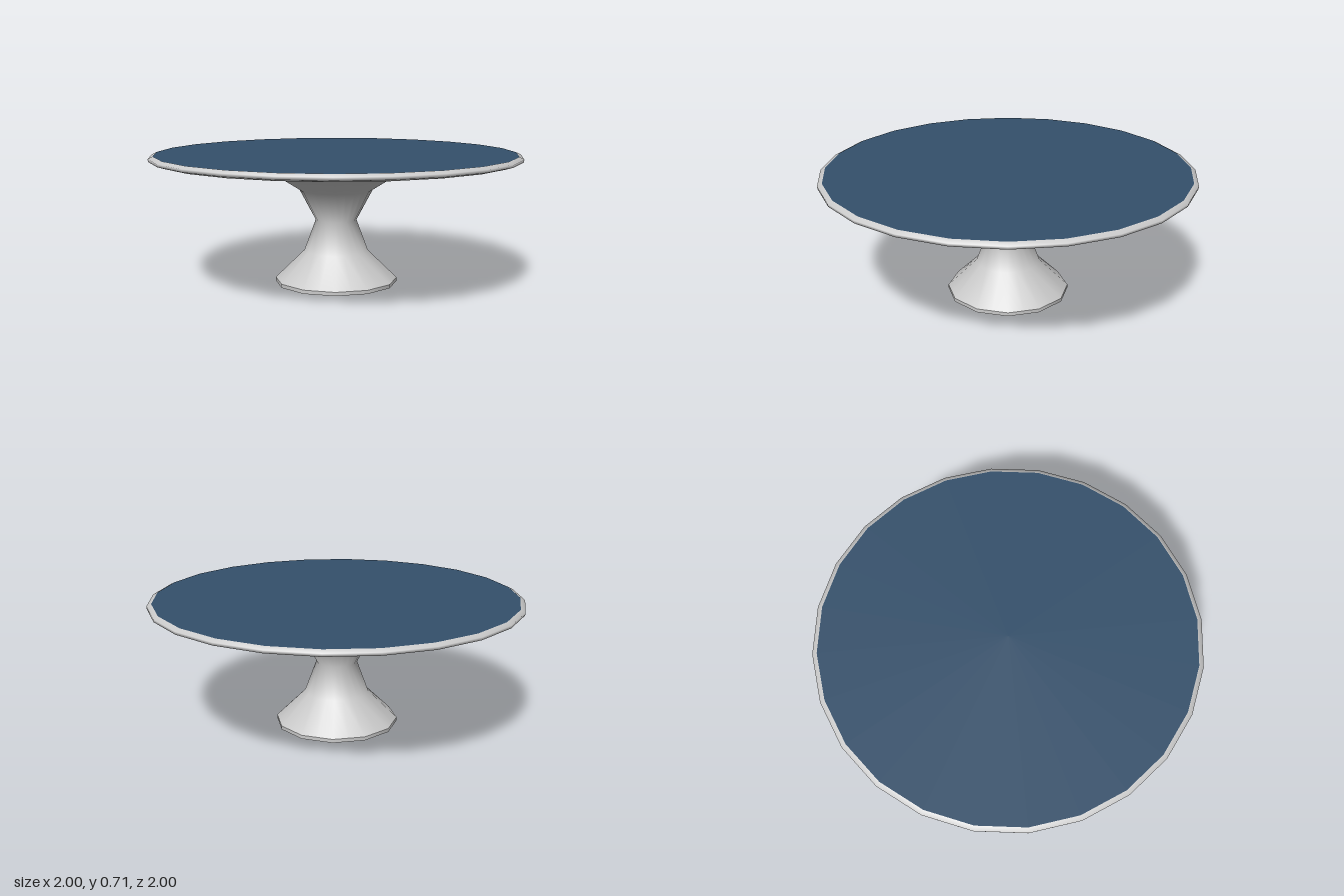
import * as THREE from 'three';
import { mergeVertices } from 'three/addons/utils/BufferGeometryUtils.js';

const SIDES = 24;

// Pedestal rings (12-sided), then tabletop rings (24-sided): [radius, height]
const pedestal = [[0.335, 0.02], [0.175, 0.175], [0.112, 0.345], [0.2, 0.51], [0.475, 0.678]];
const tabletop = [[0.965, 0.678], [0.998, 0.688], [1, 0.703], [0.975, 0.715]];

function bodyGeometry() {
  const points = [...pedestal, ...tabletop].map(([r, y]) => new THREE.Vector2(r, y));
  const lathe = new THREE.LatheGeometry(points, SIDES);
  const pos = lathe.attributes.position;
  // Pull every second pedestal column onto its chord, so the stem has 12 sides
  const chord = Math.cos(Math.PI / 12);
  for (let s = 1; s < SIDES; s += 2) {
    for (let j = 0; j < pedestal.length; j++) {
      const i = s * points.length + j;
      pos.setXYZ(i, pos.getX(i) * chord, pos.getY(i), pos.getZ(i) * chord);
    }
  }
  // Weld the seam and smooth everything
  lathe.deleteAttribute('uv');
  lathe.deleteAttribute('normal');
  const welded = mergeVertices(lathe, 1e-4);
  welded.computeVertexNormals();
  return welded;
}

export function createModel() {
  const model = new THREE.Group();
  model.name = 'pedestalTable';
  const grey = new THREE.MeshStandardMaterial({ color: 0xcccccc });
  const blue = new THREE.MeshStandardMaterial({ color: 0x34506b });

  const add = (name, geometry, material, y) => {
    const mesh = new THREE.Mesh(geometry, material);
    mesh.name = name;
    mesh.position.y = y;
    model.add(mesh);
  };

  // Flared stem running smoothly into the underside and rounded rim
  add('stemAndRim', bodyGeometry(), grey, 0);

  // Thin foot plate
  add('foot', new THREE.CylinderGeometry(0.335, 0.335, 0.02, 12), grey, 0.01);

  // Coloured table surface
  add('tableSurface', new THREE.CircleGeometry(0.975, SIDES).rotateX(-Math.PI / 2), blue, 0.715);

  return model;
}
